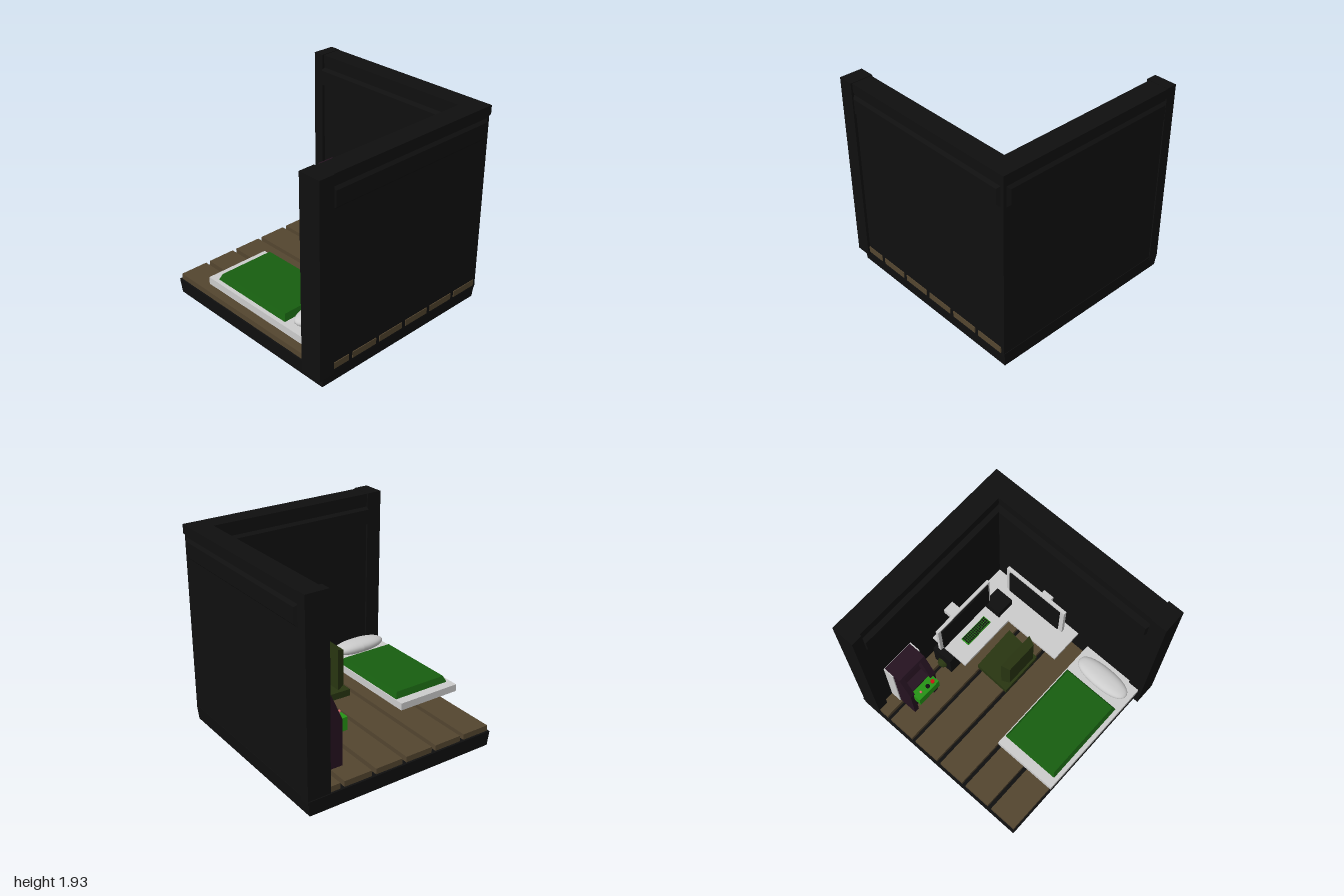
import * as THREE from 'three';

const BLACK = 0x0f0f0f, GREY = 0xcccccc, WOOD = 0x53452f, GREEN = 0x259315,
  SHEET = 0x175e10, OLIVE = 0x283511, PURPLE = 0x251220, LIME = 0x14c81e;

const mats = {};
function mat(color, smooth = false) {
  const key = color + (smooth ? 's' : 'f');
  return mats[key] ??= new THREE.MeshStandardMaterial({ color, flatShading: !smooth });
}

function add(parent, name, geometry, color, smooth) {
  const mesh = new THREE.Mesh(geometry, mat(color, smooth));
  mesh.name = name;
  parent.add(mesh);
  return mesh;
}

// Box from its limits; taper = [axis, direction, inset] narrows one of its faces
function box(parent, name, color, [x0, x1], [y0, y1], [z0, z1], taper) {
  const size = [x1 - x0, y1 - y0, z1 - z0];
  const g = new THREE.BoxGeometry(...size);
  if (taper) {
    const [axis, dir, inset] = taper;
    const p = g.attributes.position;
    for (let i = 0; i < p.count; i++) {
      if (Math.sign(p.getComponent(i, axis)) !== dir) continue;
      for (let a = 0; a < 3; a++) {
        if (a === axis) continue;
        const v = p.getComponent(i, a);
        p.setComponent(i, a, v - Math.sign(v) * inset);
      }
    }
    g.computeVertexNormals();
  }
  const mesh = add(parent, name, g, color);
  mesh.position.set((x0 + x1) / 2, (y0 + y1) / 2, (z0 + z1) / 2);
  return mesh;
}

// Side profile given as [z, y] points, extruded along x
function sideProfile(parent, name, color, points, x0, x1) {
  const shape = new THREE.Shape(points.map(([z, y]) => new THREE.Vector2(-z, y)));
  const g = new THREE.ExtrudeGeometry(shape, { depth: x1 - x0, bevelEnabled: false });
  g.rotateY(Math.PI / 2);
  g.translate(x0, 0, 0);
  return add(parent, name, g, color);
}

// Flat plate given as [x, z] points, between two heights
function plate(parent, name, color, points, y0, y1) {
  const shape = new THREE.Shape(points.map(([x, z]) => new THREE.Vector2(x, -z)));
  const g = new THREE.ExtrudeGeometry(shape, { depth: y1 - y0, bevelEnabled: false });
  g.rotateX(-Math.PI / 2);
  g.translate(0, y0, 0);
  return add(parent, name, g, color);
}

function group(parent, name) {
  const g = new THREE.Group();
  g.name = name;
  parent.add(g);
  return g;
}

function buildRoom(root) {
  const room = group(root, 'room');
  box(room, 'base', BLACK, [-0.98, 0.95], [0, 0.145], [-0.98, 0.95], [1, -1, 0.012]);
  for (let i = 0; i < 6; i++) {
    const z = 0.935 - i * 0.32;
    box(room, 'floorPlank', WOOD, [-0.96, 0.962], [0.14, 0.2], [z - 0.277, z]);
  }
  // Two walls meeting at the back left corner, each ending in a post
  box(room, 'backWall', BLACK, [-0.9, 0.955], [0.11, 1.925], [-0.975, -0.795]);
  box(room, 'leftWall', BLACK, [0.78, 0.955], [0.11, 1.925], [-0.975, 0.9]);
  box(room, 'backPost', BLACK, [-0.97, -0.865], [0.11, 1.93], [-0.985, -0.765]);
  box(room, 'frontPost', BLACK, [0.76, 0.98], [0.11, 1.93], [0.85, 1.0]);
  // Top rims
  box(room, 'backRim', BLACK, [-0.87, 0.965], [1.84, 1.925], [-0.985, -0.785]);
  box(room, 'leftRim', BLACK, [0.77, 0.965], [1.84, 1.925], [-0.985, 0.86]);
  // Rails with bevelled faces on both sides of the walls
  box(room, 'backInnerRail', BLACK, [-0.88, 0.79], [1.62, 1.8], [-0.8, -0.75], [2, 1, 0.02]);
  box(room, 'backOuterRail', BLACK, [-0.87, 0.93], [1.62, 1.82], [-1.0, -0.97], [2, -1, 0.03]);
  box(room, 'leftInnerRail', BLACK, [0.73, 0.79], [1.62, 1.8], [-0.8, 0.86], [0, -1, 0.02]);
  box(room, 'leftOuterRail', BLACK, [0.95, 0.98], [1.62, 1.82], [-0.95, 0.86], [0, 1, 0.03]);
}

function buildBed(root) {
  const bed = group(root, 'bed');
  box(bed, 'bedPlatform', GREY, [-0.49, 0.8], [0.33, 0.4], [0.325, 0.965]);
  box(bed, 'mattress', SHEET, [-0.4, 0.475], [0.4, 0.458], [0.335, 0.925], [1, 1, 0.025]);
  // Pillow: a sphere squared off a little
  const g = new THREE.SphereGeometry(1, 32, 20);
  const p = g.attributes.position;
  const square = (v, e) => Math.sign(v) * Math.abs(v) ** e;
  for (let i = 0; i < p.count; i++) {
    p.setXYZ(i, 0.107 * square(p.getX(i), 0.85), 0.06 * square(p.getY(i), 0.9), 0.28 * square(p.getZ(i), 0.9));
  }
  g.computeVertexNormals();
  add(bed, 'pillow', g, GREY, true).position.set(0.613, 0.456, 0.645);
}

function buildDesk(root) {
  const desk = group(root, 'desk');
  plate(desk, 'deskTop', GREY,
    [[-0.165, -0.8], [-0.165, -0.38], [0.44, -0.38], [0.44, 0.2], [0.79, 0.2], [0.79, -0.8]], 0.487, 0.52);
  box(desk, 'computerCase', BLACK, [-0.23, -0.02], [0.2, 0.487], [-0.73, -0.515]);
  add(desk, 'caseFan', new THREE.SphereGeometry(0.056, 10, 8), OLIVE).position.set(-0.225, 0.295, -0.62);
  box(desk, 'deskBox', BLACK, [0.4, 0.585], [0.52, 0.62], [-0.65, -0.465]);

  // Wall monitors with arms
  const back = group(desk, 'backMonitor');
  box(back, 'monitorBody', GREY, [-0.24, 0.435], [0.66, 1.075], [-0.635, -0.605]);
  box(back, 'monitorScreen', BLACK, [-0.205, 0.405], [0.68, 1.055], [-0.606, -0.59]);
  box(back, 'monitorArm', GREY, [0.02, 0.13], [0.79, 0.86], [-0.8, -0.635]);
  const side = group(desk, 'sideMonitor');
  box(side, 'monitorBody', GREY, [0.637, 0.67], [0.66, 1.075], [-0.575, 0.105]);
  box(side, 'monitorScreen', BLACK, [0.623, 0.638], [0.68, 1.055], [-0.53, 0.06]);
  box(side, 'monitorArm', GREY, [0.67, 0.79], [0.79, 0.86], [-0.24, -0.13]);

  // Keyboard with rows of keys
  const board = group(desk, 'keyboard');
  box(board, 'keyboardBase', GREEN, [0, 0.31], [0.52, 0.535], [-0.578, -0.49]);
  for (let r = 0; r < 4; r++) for (let c = 0; c < 14; c++) {
    const x = 0.008 + c * 0.0213, z = -0.572 + r * 0.0205;
    box(board, 'key', BLACK, [x, x + 0.016], [0.535, 0.542], [z, z + 0.015]);
  }
}

function buildChair(root) {
  const chair = group(root, 'chair');
  plate(chair, 'seat', OLIVE, [[-0.07, -0.31], [-0.08, 0.055], [0.36, 0.05], [0.39, -0.325]], 0.385, 0.45);
  box(chair, 'backrest', OLIVE, [-0.035, 0.35], [0.44, 0.85], [-0.045, 0.035], [2, 1, 0.03]);
  const stem = new THREE.CylinderGeometry(0.025, 0.025, 0.17, 10);
  add(chair, 'stem', stem, BLACK).position.set(0.15, 0.305, -0.14);
  for (let i = 0; i < 4; i++) {
    const leg = box(chair, 'chairLeg', BLACK, [0, 0.17], [0, 0.03], [-0.018, 0.018]);
    leg.geometry.translate(0.085, 0, 0);
    leg.position.set(0.15, 0.22, -0.14);
    leg.rotation.y = Math.PI / 4 + i * Math.PI / 2;
  }
}

function buildArcade(root) {
  const arcade = group(root, 'arcadeCabinet');
  box(arcade, 'backPanel', GREY, [-0.765, -0.42], [0.2, 0.88], [-0.795, -0.685]);
  const sidePanel = [[-0.79, 0.2], [-0.5, 0.2], [-0.5, 0.64], [-0.61, 0.89], [-0.79, 0.89]];
  sideProfile(arcade, 'sidePanel', PURPLE, sidePanel, -0.755, -0.705);
  sideProfile(arcade, 'sidePanel', PURPLE, sidePanel, -0.495, -0.435);
  // Body between the sides, recessed for the screen, with a header above
  sideProfile(arcade, 'body', PURPLE,
    [[-0.79, 0.22], [-0.53, 0.22], [-0.53, 0.64], [-0.62, 0.66], [-0.68, 0.84],
      [-0.598, 0.86], [-0.611, 0.889], [-0.79, 0.889]], -0.706, -0.494);
  box(arcade, 'controlPanel', GREEN, [-0.72, -0.465], [0.5, 0.625], [-0.53, -0.425]);
  for (const x of [-0.635, -0.535]) {
    const button = add(arcade, 'frontButton', new THREE.CylinderGeometry(0.026, 0.026, 0.04, 12), LIME);
    button.rotation.x = Math.PI / 2;
    button.position.set(x, 0.36, -0.52);
  }
  // Joystick and top buttons
  add(arcade, 'joystickShaft', new THREE.CylinderGeometry(0.005, 0.005, 0.04, 8), GREY)
    .position.set(-0.657, 0.64, -0.465);
  add(arcade, 'joystickKnob', new THREE.SphereGeometry(0.013, 12, 8), 0xd96a6a, true)
    .position.set(-0.657, 0.66, -0.465);
  [[-0.57, BLACK], [-0.507, 0xcc1111]].forEach(([x, color]) =>
    add(arcade, 'topButton', new THREE.CylinderGeometry(0.02, 0.02, 0.02, 12), color)
      .position.set(x, 0.63, -0.465));
}

export function createModel() {
  const root = new THREE.Group();
  root.name = 'bedroom';
  for (const build of [buildRoom, buildBed, buildDesk, buildChair, buildArcade]) build(root);
  return root;
}
